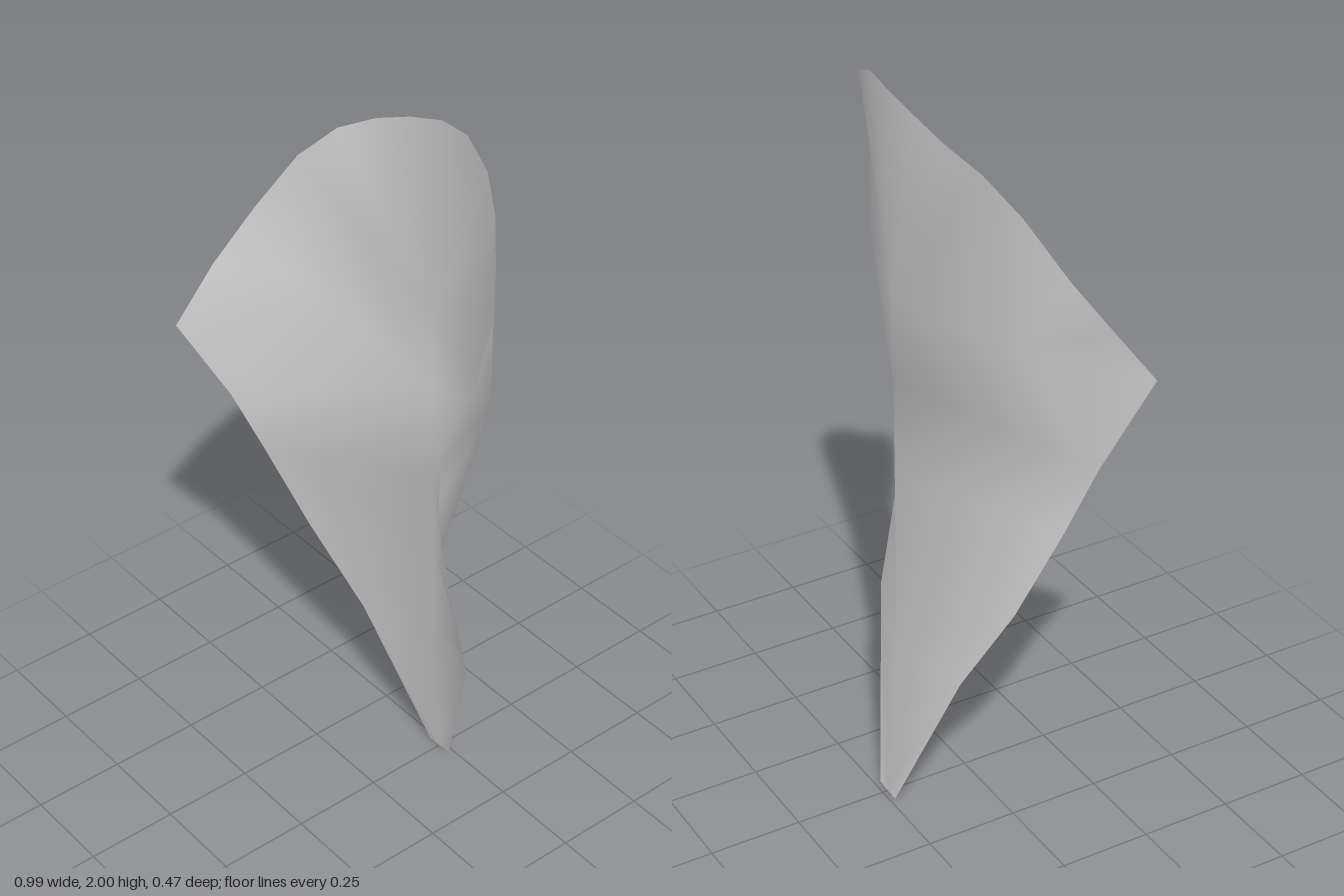
import * as THREE from 'three';

// Midrib of the petal, from the base up to the fold, then the flat upper part
const midrib = [
  [0, 0.005, -0.235], [0, 0.46, -0.203], [0, 0.71, -0.2],
  [0, 0.96, -0.2], [0, 1.23, -0.2],
];
const upperRib = [0, 1.45, -0.2];
const crown = [0, 1.99, -0.205];

// Each half: rim from base to crown, a bulging shoulder point inside it,
// and the rim index that stands straight above the shoulder
const leftHalf = {
  flip: false,
  shoulder: [0.36, 1.44, -0.06],
  above: 9,
  rim: [
    [0.04, 0.01, -0.235], [0.23, 0.49, -0.12], [0.345, 0.73, 0],
    [0.41, 0.98, 0.1], [0.46, 1.2, 0.172], [0.48, 1.36, 0.2],
    [0.492, 1.49, 0.203], [0.465, 1.61, 0.09], [0.42, 1.735, 0],
    [0.36, 1.82, -0.06], [0.28, 1.9, -0.125], [0.2, 1.96, -0.17],
    [0.1, 2, -0.195], crown,
  ],
};
const rightHalf = {
  flip: true,
  shoulder: [-0.355, 1.44, -0.065],
  above: 8,
  rim: [
    [-0.04, 0.005, -0.235], [-0.2, 0.43, -0.13], [-0.32, 0.68, -0.045],
    [-0.4, 0.93, 0.04], [-0.44, 1.11, 0.11], [-0.495, 1.345, 0.23],
    [-0.48, 1.49, 0.12], [-0.44, 1.63, 0.02], [-0.37, 1.78, -0.065],
    [-0.29, 1.87, -0.125], [-0.2, 1.92, -0.17], [-0.1, 1.96, -0.193], crown,
  ],
};

function petalGeometry() {
  const points = [];
  const index = [];
  const add = (p) => {
    const found = points.indexOf(p);
    return found >= 0 ? found : points.push(p) - 1;
  };

  for (const { rim, shoulder, above, flip } of [leftHalf, rightHalf]) {
    const face = (a, b, c) => {
      const corners = [a, b, c].map(add);
      index.push(...(flip ? corners.reverse() : corners));
    };
    const fold = midrib.length - 1;

    // Lower blade: rungs from the midrib to the rim
    for (let i = 0; i < fold; i++) {
      face(midrib[i], rim[i], rim[i + 1]);
      face(midrib[i], rim[i + 1], midrib[i + 1]);
    }
    // Ledge between the fold and the shoulder
    face(midrib[fold], rim[fold], shoulder);
    face(midrib[fold], shoulder, upperRib);
    // Side wing around the shoulder
    for (let i = fold; i < above; i++) face(shoulder, rim[i], rim[i + 1]);
    // Upper blade
    face(upperRib, shoulder, rim[above]);
    for (let i = above; i < rim.length - 1; i++) face(upperRib, rim[i], rim[i + 1]);
  }

  const geometry = new THREE.BufferGeometry();
  geometry.setAttribute('position', new THREE.Float32BufferAttribute(points.flat(), 3));
  geometry.setIndex(index);
  geometry.computeVertexNormals();
  return geometry;
}

export function createModel() {
  const group = new THREE.Group();
  group.name = 'petalModel';

  const paleGrey = new THREE.MeshStandardMaterial({ color: 0xcccccc, side: THREE.DoubleSide });
  paleGrey.name = 'pale grey';

  const petal = new THREE.Mesh(petalGeometry(), paleGrey);
  petal.name = 'petal';
  group.add(petal);
  return group;
}
